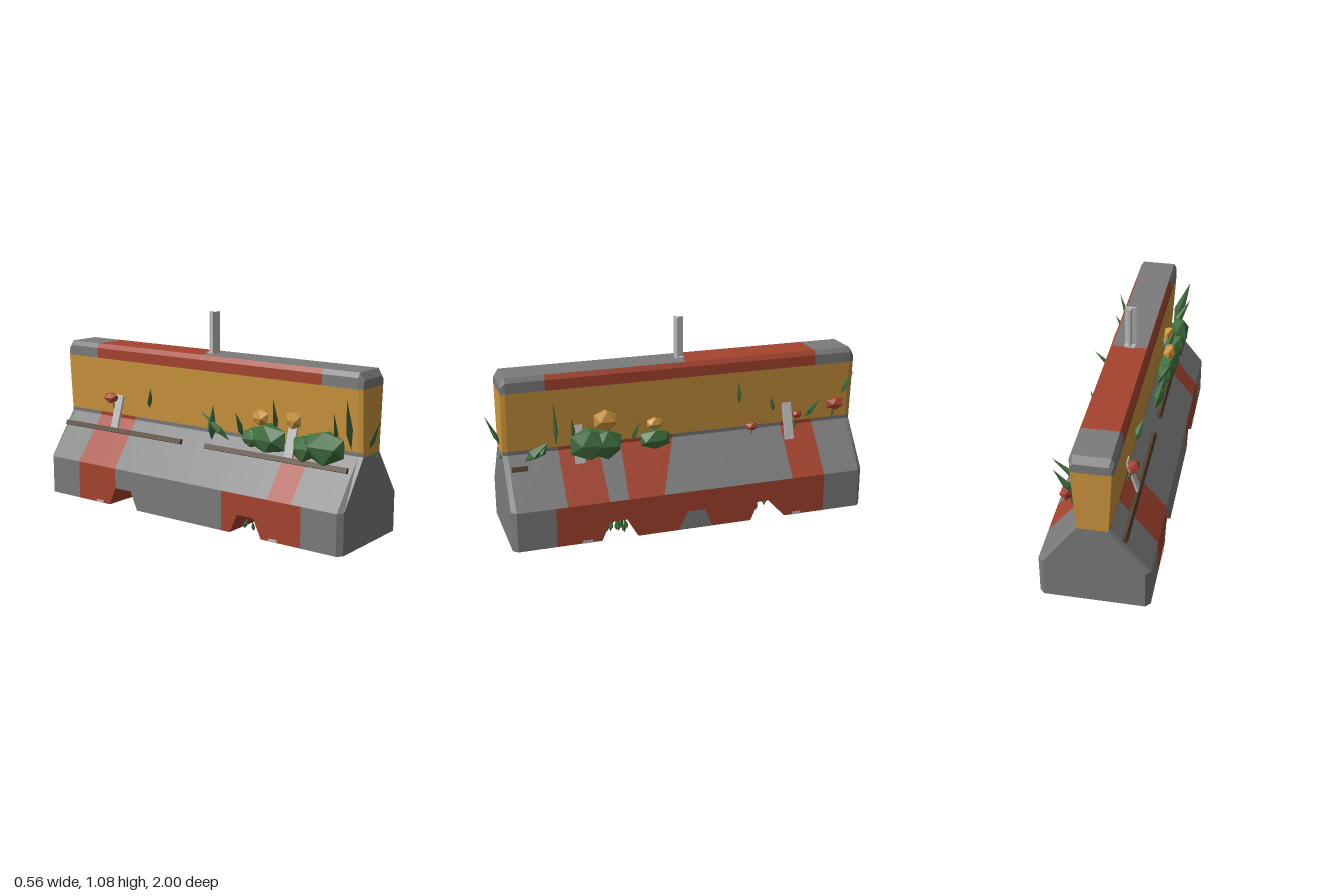
import * as THREE from 'three';

const mat = (name, color, opts = {}) => Object.assign(new THREE.MeshStandardMaterial({ color, ...opts }), { name });

export function createModel() {
  const model = new THREE.Group();
  model.name = 'overgrownRoadBarrier';
  const concrete = mat('concrete', 0x7b7b7b);
  const red = mat('redPaint', 0xa5432e);
  const yellow = mat('yellowPaint', 0xcb953c);
  const steel = mat('steel', 0xbababa);
  const rust = mat('rustyRod', 0x51402c);
  const leaf = mat('leaf', 0x41703f);
  for (const m of [concrete, red, yellow, steel, rust, leaf]) m.flatShading = true;

  let seed = 7;
  const rand = () => ((seed = (seed * 16807) % 2147483647) / 2147483647);
  const add = (name, geo, material) => {
    const mesh = new THREE.Mesh(geo, material);
    mesh.name = name;
    model.add(mesh);
    return mesh;
  };

  // Barrier body: profile levels [y, half width] and stations [z at floor, z at wall, z above slope]
  const levels = [[0, 0.275], [0.1, 0.275], [0.21, 0.275], [0.45, 0.085], [0.47, 0.086],
    [0.78, 0.105], [0.835, 0.105], [0.86, 0.09]];
  const stations = [-1, -0.975, -0.77, -0.585, [-0.54, -0.497, -0.51], [-0.342, -0.385, -0.37],
    [-0.123, -0.086, -0.04], [0.064, 0.01, 0], [0.14, 0.14, 0.035], 0.23, [0.283, 0.33, 0.32],
    [0.476, 0.43, 0.44], 0.51, 0.65, 0.71, 0.91, 0.935];
  const last = stations.length - 1;
  // Paint plan: one letter per column, one string per row ('-' is a tunnel opening)
  const right = ['ggrr-rgrrr-rrrgg', 'ggrrrrrrrrrrrrgg', 'ggrgggggrrgrrggg', 'ggrgggggrrgrrggg',
    'yyyyyyyyyyyyyyyy', 'ggrrrrrrrrrrrrgg', 'ggrrrrrrrrrrrrgg'];
  const left = ['ggrr-ggggr-rrrgg', 'ggrrgggggrrrrrgg', 'ggrrggggggggrggg', 'ggrrggggggggrggg', ...right.slice(4)];
  const topRow = 'ggrrrrgggggggggg', floorRow = 'ggrrrrgggrrrrrgg', endRow = 'gggyygg';
  const tris = { g: [], r: [], y: [] };
  const point = (side, l, s) => {
    const st = stations[s], end = s === 0 || s === last;
    const z = Array.isArray(st) ? st[l === 0 ? 0 : l < 3 ? 1 : 2] : st;
    const y = end && l > 5 ? [0.81, 0.825][l - 6] : levels[l][0];
    return [side * levels[l][1] * (end ? 0.91 : 1), y, z];
  };
  const quad = (key, a, b, c, d, flip = false) => {
    if (flip) [b, d] = [d, b];
    tris[key].push(...a, ...b, ...c, ...a, ...c, ...d);
  };
  for (let s = 0; s < last; s++) {
    for (const [side, rows] of [[1, right], [-1, left]]) {
      rows.forEach((row, l) => {
        if (row[s] !== '-') {
          quad(row[s], point(side, l, s + 1), point(side, l, s), point(side, l + 1, s), point(side, l + 1, s + 1), side < 0);
        }
      });
    }
    quad(topRow[s], point(-1, 7, s + 1), point(1, 7, s + 1), point(1, 7, s), point(-1, 7, s));
    const tunnel = right[0][s] === '-', f = tunnel ? 1 : 0;
    quad(floorRow[s], point(-1, f, s), point(1, f, s), point(1, f, s + 1), point(-1, f, s + 1));
    if (tunnel) {
      for (const w of [s, s + 1]) {
        quad('r', point(-1, 0, w), point(1, 0, w), point(1, 1, w), point(-1, 1, w), w > s);
      }
    }
  }
  for (const s of [0, last]) {
    for (let l = 0; l < 7; l++) {
      quad(endRow[l], point(-1, l, s), point(1, l, s), point(1, l + 1, s), point(-1, l + 1, s), s === 0);
    }
  }
  for (const [key, name, material] of [['g', 'bareConcrete', concrete], ['r', 'redPaintedFaces', red], ['y', 'yellowBand', yellow]]) {
    const geo = new THREE.BufferGeometry();
    geo.setAttribute('position', new THREE.Float32BufferAttribute(tris[key], 3));
    geo.computeVertexNormals();
    add(name, geo, material);
  }

  // Sign post stub: T-shaped section
  const section = new THREE.Shape([[-0.03, 0.008], [0.03, 0.008], [0.03, 0.016], [0.008, 0.022],
    [0.006, 0.05], [-0.006, 0.05], [-0.008, 0.022], [-0.03, 0.016]].map(([x, y]) => new THREE.Vector2(x, y)));
  const post = add('signPost', new THREE.ExtrudeGeometry(section, { depth: 0.22, bevelEnabled: false }), steel);
  post.rotation.x = -Math.PI / 2;
  post.position.y = 0.86;
  add('postFoot', new THREE.BoxGeometry(0.056, 0.01, 0.04), steel).position.set(0, 0.863, -0.03);

  // Steel straps across the inner corner, with their feet at the floor
  for (const side of [1, -1]) {
    for (const z of [-0.612, 0.55]) {
      const strap = add('strap', new THREE.BoxGeometry(0.012, 0.2, 0.05), steel);
      strap.position.set(side * 0.122, 0.485, z);
      strap.rotation.z = side * 0.3;
      add('strapFoot', new THREE.BoxGeometry(0.012, 0.015, 0.05), steel).position.set(side * 0.272, 0.0075, z);
    }
  }

  // Rusty rods along the slopes
  for (const [x, z, length] of [[-0.15, -0.555, 0.85], [-0.15, 0.46, 0.86], [0.137, 0.86, 0.08]]) {
    const rod = add('rustyRod', new THREE.BoxGeometry(0.018, 0.026, length), rust);
    rod.position.set(x, 0.39, z);
    rod.rotation.z = x < 0 ? -0.4 : 0.4;
  }

  // Leaf blades: flat four-sided spindles from base to tip
  const up = new THREE.Vector3(0, 1, 0);
  const bladeGeo = new THREE.LatheGeometry([[0, 0], [1, 0.35], [0, 1]].map(([x, y]) => new THREE.Vector2(x, y)), 4);
  const blade = (name, base, tip, width = 0.022, thick = 0.012) => {
    const a = new THREE.Vector3(...base), dir = new THREE.Vector3(...tip).sub(a);
    const mesh = add(name, bladeGeo, leaf);
    mesh.position.copy(a);
    mesh.scale.set(width, dir.length(), thick);
    mesh.quaternion.setFromUnitVectors(up, dir.normalize());
  };
  const blades = [
    [[0.1, 0.48, 0.66], [0.19, 0.75, 0.69]], [[0.1, 0.5, 0.57], [0.2, 0.66, 0.6]],
    [[0.09, 0.6, -0.34], [0.15, 0.75, -0.31]], [[0.09, 0.54, -0.54], [0.14, 0.64, -0.5]],
    [[0.09, 0.49, -0.73], [0.252, 0.635, -0.735]], [[0.09, 0.6, -0.94], [0.185, 0.75, -0.96]],
    [[0.1, 0.47, 0.26], [0.25, 0.62, 0.26]], [[0.12, 0.42, 0.83], [0.16, 0.53, 0.71], 0.03, 0.03],
    [[0.13, 0.44, 0.76], [0.15, 0.52, 0.72], 0.025, 0.025],
    [[-0.1, 0.48, 0.88], [-0.19, 0.75, 0.9], 0.03], [[-0.1, 0.48, 0.8], [-0.2, 0.67, 0.84]],
    [[-0.1, 0.5, 0.45], [-0.17, 0.7, 0.47]], [[-0.12, 0.42, 0.05], [-0.17, 0.62, 0.1], 0.03, 0.03],
    [[-0.11, 0.43, 0.16], [-0.18, 0.58, 0.03], 0.025, 0.025], [[-0.09, 0.53, -0.4], [-0.13, 0.65, -0.36]],
    [[-0.1, 0.46, 0.24], [-0.18, 0.6, 0.25]],
    [[-0.005, 0.47, 0.925], [-0.04, 0.63, 1.0], 0.026], [[0.04, 0.43, 0.93], [0.06, 0.435, 0.95], 0.008],
  ];
  for (const b of blades) blade('leafBlade', ...b);

  // Grass inside the tunnels
  for (const [z, spread, count] of [[0.38, 0.075, 36], [-0.42, 0.02, 7], [-0.5, 0.012, 3]]) {
    for (let i = 0; i < count; i++) {
      const x = (rand() - 0.5) * 0.42, zz = z + (rand() * 2 - 1) * spread;
      blade('tunnelGrass', [x, 0, zz], [x + (rand() - 0.5) * 0.05, 0.05 + rand() * 0.045, z + (zz - z) * 0.7], 0.012, 0.012);
    }
  }

  // Faceted lumps for bushes and flowers
  const lump = (name, material, [x, y, z], [sx, sy, sz]) => {
    const geo = new THREE.IcosahedronGeometry(1, 0), p = geo.attributes.position;
    for (let i = 0; i < p.count; i++) {
      const n = Math.sin(p.getX(i) * 12.9 + p.getY(i) * 78.2 + p.getZ(i) * 37.7 + z * 9);
      const k = 1 + 0.16 * n;
      p.setXYZ(i, p.getX(i) * sx * k, p.getY(i) * sy * k, p.getZ(i) * sz * k);
    }
    geo.computeVertexNormals();
    add(name, geo, material).position.set(x, y, z);
  };
  const bushes = [
    [[0.145, 0.49, 0.5], [0.06, 0.08, 0.1]], [[0.15, 0.48, 0.41], [0.06, 0.08, 0.09]],
    [[0.14, 0.475, 0.15], [0.052, 0.068, 0.105]],
    [[-0.145, 0.49, 0.77], [0.06, 0.1, 0.13]], [[-0.15, 0.47, 0.65], [0.05, 0.07, 0.07]],
    [[-0.145, 0.48, 0.42], [0.058, 0.08, 0.11]], [[-0.135, 0.47, 0.32], [0.045, 0.06, 0.07]],
  ];
  for (const [pos, size] of bushes) lump('bush', leaf, pos, size);
  const flowers = [
    [yellow, [0.145, 0.605, 0.41], [0.036, 0.055, 0.065]], [yellow, [0.14, 0.56, 0.15], [0.036, 0.04, 0.055]],
    [yellow, [-0.15, 0.585, 0.38], [0.034, 0.045, 0.05]], [yellow, [-0.115, 0.59, 0.56], [0.034, 0.045, 0.045]],
    [red, [0.14, 0.565, -0.88], [0.036, 0.033, 0.05]], [red, [0.11, 0.472, -0.41], [0.025, 0.025, 0.042]],
    [red, [0.115, 0.515, -0.665], [0.025, 0.025, 0.03]], [red, [-0.13, 0.57, -0.645], [0.032, 0.035, 0.05]],
  ];
  for (const [material, pos, size] of flowers) {
    lump('flower', material, pos, size);
    blade('flowerStem', [pos[0] * 0.75, pos[1] - 0.1, pos[2]], pos, 0.008, 0.008);
  }
  return model;
}
